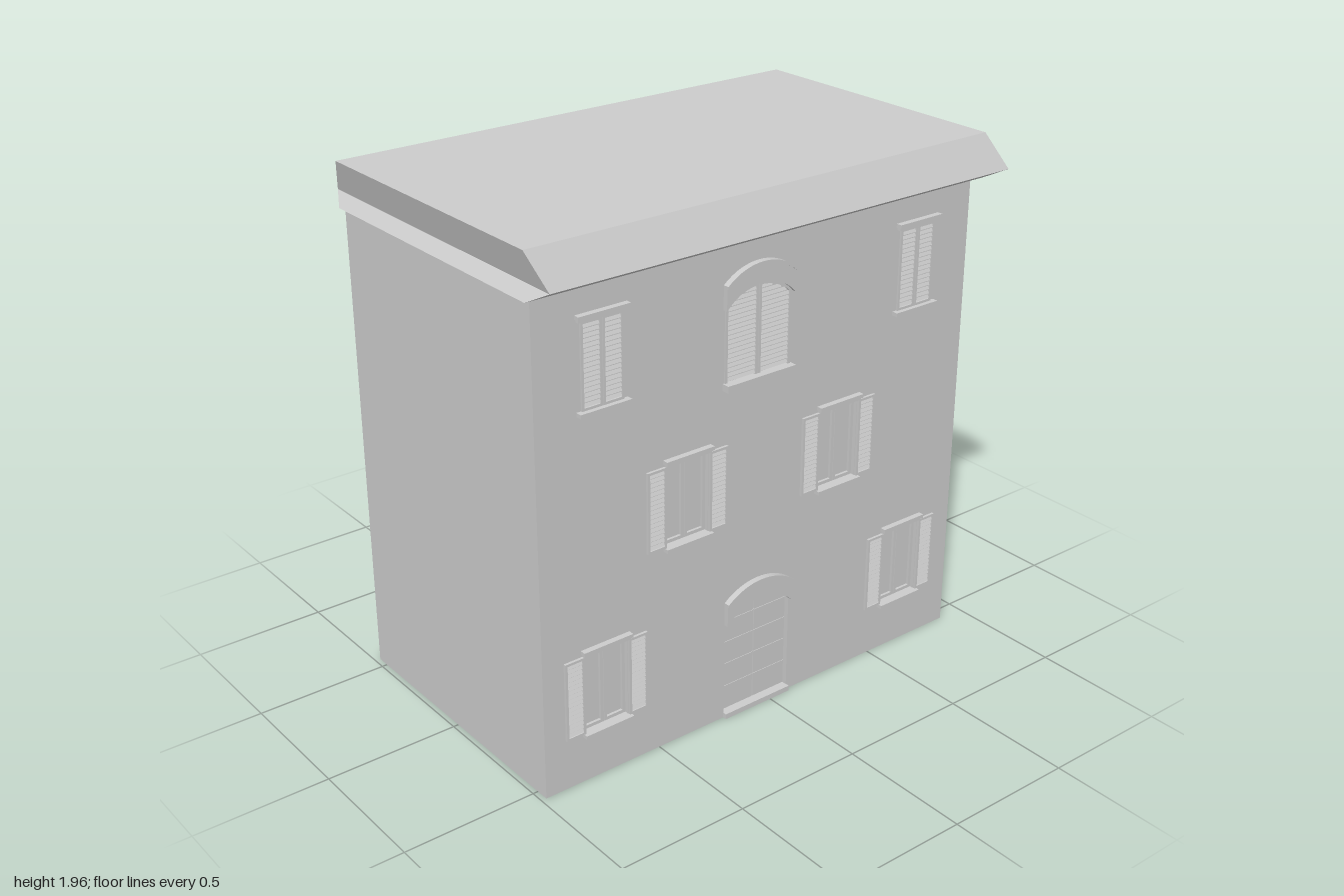
import * as THREE from 'three';

const WALL_Z = 0.55, RECESS = 0.03, BACK_Z = WALL_Z - RECESS;
const mat = new THREE.MeshStandardMaterial({ color: 0xcccccc, flatShading: true });

function add(parent, name, geo) {
  const m = new THREE.Mesh(geo, mat);
  m.name = name;
  parent.add(m);
  return m;
}

function group(parent, name, x = 0, y = 0, z = 0) {
  const g = new THREE.Group();
  g.name = name;
  g.position.set(x, y, z);
  parent.add(g);
  return g;
}

// Box given by its limits
function block(parent, name, x0, x1, y0, y1, z0, z1) {
  const m = add(parent, name, new THREE.BoxGeometry(x1 - x0, y1 - y0, z1 - z0));
  m.position.set((x0 + x1) / 2, (y0 + y1) / 2, (z0 + z1) / 2);
  return m;
}

// Height of a segmental arch above its springing line
function arc(x, half, rise) {
  const r = (half * half + rise * rise) / (2 * rise);
  return Math.sqrt(Math.max(0, r * r - x * x)) - (r - rise);
}

// Outline between two height functions of x
function outline(x0, x1, low, high, cx = 0) {
  const n = 16, lower = [], upper = [];
  for (let i = 0; i <= n; i++) {
    const x = x0 + (x1 - x0) * i / n;
    lower.push(new THREE.Vector2(cx + x, low(x)));
    upper.unshift(new THREE.Vector2(cx + x, high(x)));
  }
  return [...lower, ...upper];
}

function slab(parent, name, pts, z0, z1) {
  const geo = new THREE.ExtrudeGeometry(new THREE.Shape(pts), { depth: z1 - z0, bevelEnabled: false });
  geo.translate(0, 0, z0);
  return add(parent, name, geo);
}

// Louvred leaf, its lower left corner at the local origin
function shutter(parent, name, x, y, z, w, h) {
  const g = group(parent, name, x, y, z), t = 0.01, rail = 0.009;
  block(g, 'shutterBacking', 0, w, 0, h, 0, 0.002);
  for (const sx of [0, w - rail]) block(g, 'shutterStile', sx, sx + rail, 0, h, 0, t);
  for (const sy of [0, h - rail]) block(g, 'shutterRail', rail, w - rail, sy, sy + rail, 0, t);
  const n = 17, step = (h - 2 * rail) / n;
  for (let i = 0; i < n; i++) {
    const y0 = rail + i * step;
    const slat = block(g, 'shutterSlat', rail, w - rail, y0 + 0.002, y0 + step - 0.002, 0.003, 0.007);
    slat.rotation.x = -0.45;
  }
}

// Stepped lintel and sill around an opening from y = 0 to y = h
function trim(g, h) {
  block(g, 'lintel', -0.095, 0.095, h, h + 0.012, WALL_Z - 0.01, WALL_Z + 0.014);
  block(g, 'lintelCap', -0.1, 0.1, h + 0.01, h + 0.024, WALL_Z - 0.01, WALL_Z + 0.022);
  block(g, 'sill', -0.1, 0.1, -0.014, 0, BACK_Z, WALL_Z + 0.024);
}

function closedWindow(parent, x, y) {
  const g = group(parent, 'closedWindow', x, y);
  trim(g, 0.3);
  for (const sx of [-0.082, 0.001]) shutter(g, 'closedShutter', sx, 0, WALL_Z - 0.003, 0.081, 0.3);
}

function openWindow(parent, x, y) {
  const g = group(parent, 'openWindow', x, y), h = 0.3;
  trim(g, h);
  for (const s of [-1, 1]) {
    shutter(g, 'openShutter', s > 0 ? 0.092 : -0.17, 0, WALL_Z, 0.078, h);
    // Casement: glass set behind four frame bars
    const x0 = s > 0 ? 0.001 : -0.09, x1 = x0 + 0.089, b = 0.012;
    const c = group(g, 'casement');
    for (const bx of [x0, x1 - b]) block(c, 'casementStile', bx, bx + b, 0, h, BACK_Z, BACK_Z + 0.015);
    for (const by of [0, h - b]) block(c, 'casementRail', x0 + b, x1 - b, by, by + b, BACK_Z, BACK_Z + 0.015);
    block(c, 'glass', x0 + b, x1 - b, b, h - b, BACK_Z, BACK_Z + 0.005);
  }
}

// Curved hood band over an arched opening
function hood(g, half, spring, rise, outerSpring, outerRise) {
  slab(g, 'archHood', outline(-half, half, x => spring + arc(x, half, rise),
    x => outerSpring + arc(x, half, outerRise)), WALL_Z - 0.01, WALL_Z + 0.018);
  slab(g, 'archHoodEdge', outline(-half, half, x => outerSpring - 0.008 + arc(x, half, outerRise),
    x => outerSpring + 0.002 + arc(x, half, outerRise)), WALL_Z, WALL_Z + 0.023);
}

function archedWindow(parent, x) {
  const g = group(parent, 'archedWindow', x), half = 0.148, spring = 1.575, rise = 0.067, y0 = 1.315;
  const top = v => spring + arc(v, half, rise);
  hood(g, half, spring, rise, 1.66, 0.055);
  block(g, 'archedWindowSill', -half, half, 1.29, y0, BACK_Z, WALL_Z + 0.03);
  const z = WALL_Z - 0.006;
  slab(g, 'shutterBacking', outline(-0.142, 0.142, () => y0, top), BACK_Z, z + 0.002);
  for (const s of [-1, 1]) {
    for (const sx of [0.001, 0.132]) {
      const a = s > 0 ? sx : -sx - 0.01;
      slab(g, 'shutterStile', outline(a, a + 0.01, () => y0, top), z, z + 0.011);
    }
    slab(g, 'shutterTopRail', outline(s > 0 ? 0.011 : -0.132, s > 0 ? 0.132 : -0.011,
      v => top(v) - 0.012, top), z, z + 0.011);
    // Slats shorten where they meet the arch
    for (let y = y0 + 0.003; y < 1.622; y += 0.0165) {
      let w = 0.132;
      while (w > 0.02 && top(w) < y + 0.018) w -= 0.002;
      const slat = block(g, 'shutterSlat', s > 0 ? 0.011 : -w, s > 0 ? w : -0.011, y, y + 0.0125, z + 0.003, z + 0.007);
      slat.rotation.x = -0.45;
    }
  }
}

function door(parent, x) {
  const g = group(parent, 'door', x), half = 0.15, spring = 0.385, rise = 0.068;
  const top = v => spring + arc(v, half, rise);
  hood(g, half, spring, rise, 0.472, 0.053);
  block(g, 'threshold', -half, half, 0, 0.02, BACK_Z, WALL_Z + 0.015);
  // Two leaves of stacked boards
  const seams = [0.02, 0.117, 0.21, 0.3, 0.385, 0.5];
  for (const s of [-1, 1]) {
    const a = s > 0 ? 0.002 : -0.147, b = s > 0 ? 0.147 : -0.002;
    for (let i = 0; i < 5; i++) {
      slab(g, 'doorBoard', outline(a, b, () => seams[i] + 0.001,
        v => Math.min(seams[i + 1] - 0.001, top(v))), BACK_Z, BACK_Z + 0.012);
    }
  }
}

// Roof slab lofted through three rectangles: [y, xMin, xMax, zHalf]
function roofGeometry() {
  const rings = [[1.79, -1, 0.955, 0.555], [1.83, -0.96, 1, 0.63], [1.955, -1, 0.95, 0.555]];
  const pos = [], idx = [];
  for (const [y, x0, x1, z] of rings) pos.push(x0, y, z, x1, y, z, x1, y, -z, x0, y, -z);
  for (let r = 0; r < 2; r++) {
    for (let i = 0; i < 4; i++) {
      const a = r * 4 + i, b = r * 4 + (i + 1) % 4;
      idx.push(a, b, b + 4, a, b + 4, a + 4);
    }
  }
  idx.push(0, 2, 1, 0, 3, 2, 8, 9, 10, 8, 10, 11);
  const geo = new THREE.BufferGeometry();
  geo.setAttribute('position', new THREE.Float32BufferAttribute(pos, 3));
  geo.setIndex(idx);
  const flat = geo.toNonIndexed();
  flat.computeVertexNormals();
  return flat;
}

export function createModel() {
  const model = new THREE.Group();
  model.name = 'townhouse';
  const X0 = -0.98, X1 = 0.895, H = 1.79, doorX = -0.06, archX = -0.083;
  const openSpots = [[-0.725, 0.195], [0.64, 0.195], [-0.38, 0.787], [0.297, 0.787]];
  const closedSpots = [[-0.72, 1.38], [0.64, 1.38]];

  // Body, with a front wall pierced by the openings
  block(model, 'body', X0, X1, 0, H, -WALL_Z, BACK_Z);
  const doorTop = x => 0.385 + arc(x, 0.15, 0.068);
  const doorway = outline(-0.148, 0.148, () => 0, doorTop, doorX);
  const wall = new THREE.Shape([new THREE.Vector2(X0, 0), ...doorway.slice(0, 1),
    ...doorway.slice(17).reverse(), ...doorway.slice(16, 17),
    new THREE.Vector2(X1, 0), new THREE.Vector2(X1, H), new THREE.Vector2(X0, H)]);
  for (const [x, y] of openSpots) {
    wall.holes.push(new THREE.Path(outline(-0.09, 0.09, () => y, () => y + 0.3, x)));
  }
  wall.holes.push(new THREE.Path(outline(-0.142, 0.142, () => 1.315, x => 1.575 + arc(x, 0.148, 0.067), archX)));
  const front = new THREE.ExtrudeGeometry(wall, { depth: RECESS, bevelEnabled: false });
  front.translate(0, 0, BACK_Z);
  add(model, 'frontWall', front);

  add(model, 'roof', roofGeometry());
  for (const [x, y] of openSpots) openWindow(model, x, y);
  for (const [x, y] of closedSpots) closedWindow(model, x, y);
  archedWindow(model, archX);
  door(model, doorX);
  return model;
}
